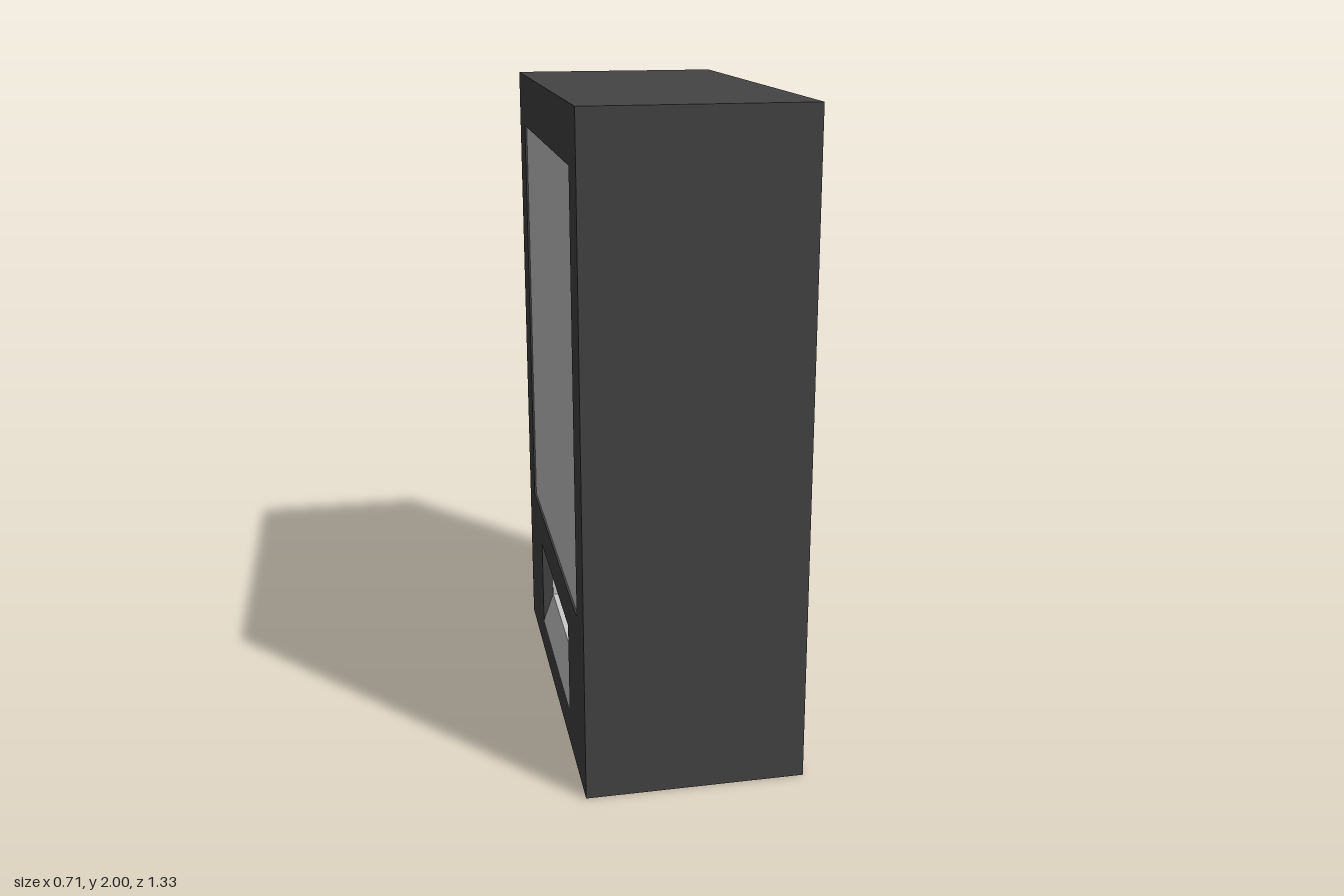
import * as THREE from 'three';

const FRONT = -0.354, BACK = 0.308, HALF = 0.665, HEIGHT = 2;
const PANEL = 0.035; // thickness of the front panel
const window_ = { w: 0.53, y0: 0.52, y1: 1.833 };
const slot = { w: 0.33, y0: 0.11, y1: 0.4 };

const dark = new THREE.MeshStandardMaterial({ color: 0x444444 });
const light = new THREE.MeshStandardMaterial({ color: 0xcccccc });

// Rectangle in the plane of the front panel, symmetric about the middle
function rect(Type, { w, y0, y1 }) {
  const path = new Type();
  path.moveTo(-w, y0).lineTo(w, y0).lineTo(w, y1).lineTo(-w, y1).closePath();
  return path;
}

// Slab with rectangular holes, running from x0 to x1
function slab(holes, x0, x1) {
  const shape = rect(THREE.Shape, { w: HALF, y0: 0, y1: HEIGHT });
  shape.holes = holes.map((h) => rect(THREE.Path, h));
  const geo = new THREE.ExtrudeGeometry(shape, { depth: x1 - x0, bevelEnabled: false });
  return geo.rotateY(Math.PI / 2).translate(x0, 0, 0);
}

// Box given by its limits on each axis
function box(x0, x1, y0, y1, z0, z1) {
  return new THREE.BoxGeometry(x1 - x0, y1 - y0, z1 - z0)
    .translate((x0 + x1) / 2, (y0 + y1) / 2, (z0 + z1) / 2);
}

export function createModel() {
  const model = new THREE.Group();
  const add = (name, geo, mat, parent = model) => {
    const mesh = new THREE.Mesh(geo, mat);
    mesh.name = name;
    parent.add(mesh);
  };

  // Cabinet: front panel with two openings, hollowed body and closed back
  const cabinet = new THREE.Group();
  cabinet.name = 'cabinet';
  model.add(cabinet);
  const inner = BACK - 0.03;
  add('frontPanel', slab([window_, slot], FRONT, FRONT + PANEL), dark, cabinet);
  add('body', slab([slot], FRONT + PANEL, inner), dark, cabinet);
  add('backPlate', slab([], inner, BACK), dark, cabinet);

  // Window pane, set almost flush in the upper opening
  add('windowPane', box(FRONT + 0.006, FRONT + PANEL, window_.y0, window_.y1, -window_.w, window_.w), light);

  // Collection tray: steep lip leading to a flat floor, with lined walls
  const tray = new THREE.Group();
  tray.name = 'collectionTray';
  model.add(tray);
  const profile = new THREE.Shape([
    [FRONT, slot.y0], [inner, slot.y0], [inner, 0.21], [FRONT + PANEL, 0.21],
  ].map(([x, y]) => new THREE.Vector2(x, y)));
  add('trayFloor', new THREE.ExtrudeGeometry(profile, { depth: slot.w * 2, bevelEnabled: false })
    .translate(0, 0, -slot.w), light, tray);
  const lip = FRONT + PANEL, t = 0.004;
  for (const side of [-1, 1]) {
    const z = side * (slot.w - t / 2);
    add('trayWall', box(lip, inner, 0.21, slot.y1, z - t / 2, z + t / 2), light, tray);
  }
  add('trayCeiling', box(lip, inner, slot.y1 - t, slot.y1, -slot.w, slot.w), light, tray);
  add('trayBack', box(inner - t, inner, 0.21, slot.y1, -slot.w, slot.w), light, tray);

  // Bevelled service cover on the opposite side
  const cover = new THREE.BoxGeometry(0.046, 0.515, 1.066);
  const p = cover.attributes.position;
  for (let i = 0; i < p.count; i++) {
    if (p.getX(i) > 0) {
      p.setY(i, p.getY(i) - Math.sign(p.getY(i)) * 0.034);
      p.setZ(i, p.getZ(i) - Math.sign(p.getZ(i)) * 0.033);
    }
  }
  cover.computeVertexNormals();
  add('serviceCover', cover.translate(BACK + 0.023, 0.2575, 0), dark);

  return model;
}
